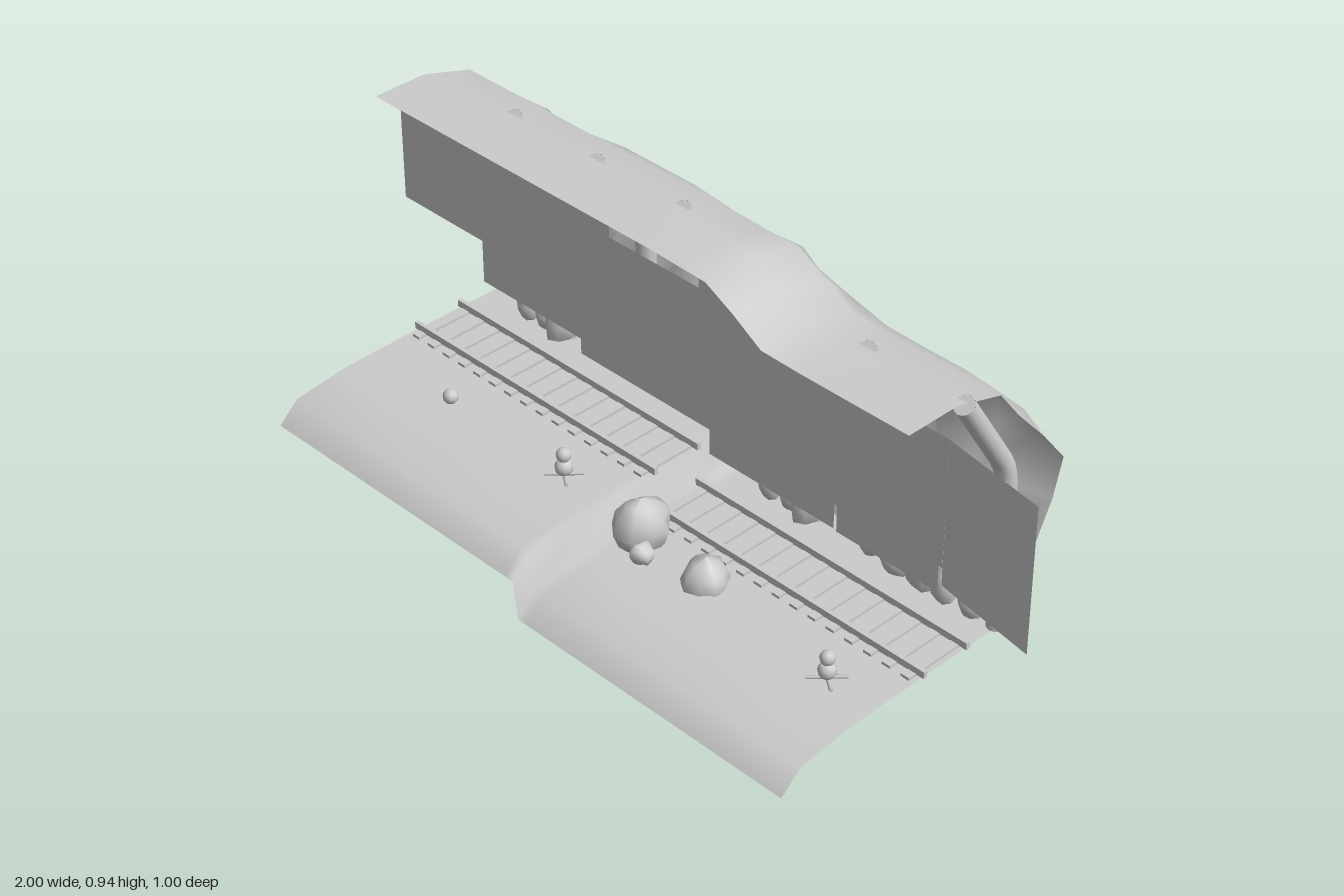
import * as THREE from 'three';

const STEP = 0.11;                       // height difference of the two halves
const HALVES = [{ x: -0.99, lift: STEP }, { x: -0.085, lift: 0 }];
const mat = new THREE.MeshStandardMaterial({ color: 0xcccccc, side: THREE.DoubleSide });

function add(parent, name, geo, x = 0, y = 0, z = 0) {
  const m = new THREE.Mesh(geo, mat);
  m.name = name;
  m.position.set(x, y, z);
  parent.add(m);
  return m;
}

// Surface through a grid of points: cols x rows, point(i, j) -> [x, y, z]
function sheet(cols, rows, point) {
  const pos = [], idx = [];
  for (let i = 0; i < cols; i++) for (let j = 0; j < rows; j++) pos.push(...point(i, j));
  for (let i = 0; i < cols - 1; i++) for (let j = 0; j < rows - 1; j++) {
    const a = i * rows + j, b = a + rows;
    idx.push(a, a + 1, b, b, a + 1, b + 1);
  }
  const g = new THREE.BufferGeometry();
  g.setAttribute('position', new THREE.Float32BufferAttribute(pos, 3));
  g.setIndex(idx);
  g.computeVertexNormals();
  return g;
}

// Irregular stone: a sphere with its vertices pushed in and out
function stone(r, sy, seed) {
  const g = new THREE.SphereGeometry(r, 9, 6), p = g.attributes.position;
  for (let i = 0; i < p.count; i++) {
    const x = p.getX(i) / r, y = p.getY(i) / r, z = p.getZ(i) / r;
    const k = 1 + 0.09 * Math.sin(4 * x + seed) + 0.09 * Math.cos(5 * z + 3 * y + seed * 2);
    p.setXYZ(i, x * r * k, y * r * k * sy, z * r * k);
  }
  g.computeVertexNormals();
  return g;
}

// Piecewise linear value
function lerpTable(t, x) {
  if (x <= t[0][0]) return t[0][1];
  for (let i = 1; i < t.length; i++) {
    const [x0, y0] = t[i - 1], [x1, y1] = t[i];
    if (x <= x1) return y0 + (y1 - y0) * (x - x0) / (x1 - x0);
  }
  return t[t.length - 1][1];
}
const roofLift = x => STEP * lerpTable([[0, 1], [0.2, 0.94], [0.28, 0.5], [0.37, 0]], x);
const floorLift = x => STEP * lerpTable([[-0.09, 1], [-0.075, 0]], x);

function createModel() {
  const model = new THREE.Group();
  model.name = 'mineTunnel';

  // Stepped floor with a front edge that curves down
  const floorProfile = [[0.5, 0], [0.44, 0.055], [0.28, 0.075], [0.14, 0.078], [-0.1, 0.08], [-0.28, 0.08]];
  const floorX = [-0.99, -0.5, -0.12, -0.09, -0.075, -0.045, 0.4, 0.82];
  add(model, 'floor', sheet(floorX.length, floorProfile.length, (i, j) =>
    [floorX[i], floorProfile[j][1] + floorLift(floorX[i]), floorProfile[j][0]]));

  // Roof and craggy back wall: smooth rows on top, uneven depth below, repeated in both halves
  const dx = [0, 0.09, 0.18, 0.27, 0.36, 0.45, 0.57, 0.7, 0.8, 0.905];
  const roofRows = [[0.12, 0.825], [-0.04, 0.825], [-0.19, 0.78]];
  const rockRows = [
    [0.69, 0.26, 0.28, 0.30, 0.26, 0.28, 0.31, 0.31, 0.31, 0.30, 0.26],
    [0.58, 0.36, 0.30, 0.31, 0.27, 0.32, 0.36, 0.38, 0.42, 0.41, 0.36],
    [0.48, 0.44, 0.34, 0.35, 0.28, 0.36, 0.39, 0.36, 0.435, 0.44, 0.44],
    [0.37, 0.41, 0.32, 0.35, 0.30, 0.38, 0.50, 0.38, 0.33, 0.39, 0.41],
    [0.29, 0.37, 0.37, 0.38, 0.35, 0.29, 0.37, 0.30, 0.33, 0.36, 0.37],
    [0.22, 0.34, 0.48, 0.47, 0.46, 0.31, 0.32, 0.37, 0.41, 0.34, 0.34],
    [0.13, 0.31, 0.35, 0.36, 0.35, 0.30, 0.29, 0.35, 0.36, 0.32, 0.31],
    [0.08, 0.28, 0.28, 0.28, 0.28, 0.28, 0.28, 0.28, 0.28, 0.28, 0.28]];
  const rows = roofRows.length + rockRows.length;
  const n = dx.length - 1;
  add(model, 'rockWallAndRoof', sheet(2 * n + 1, rows, (i, j) => {
    const half = i > n ? 1 : 0, c = i - half * n, x = HALVES[half].x + dx[c];
    const rock = rockRows[j - roofRows.length];
    const y = rock ? rock[0] : roofRows[j][1];
    const z = rock ? -rock[c + 1] : roofRows[j][0];
    const w = Math.min(1, Math.max(0, (y - 0.1) / 0.5));
    const lift = roofLift(x) * w + floorLift(x) * (1 - w);
    return [x, y + lift, z];
  }));

  // Bent support post
  const postPath = new THREE.CurvePath();
  const v = (y, z) => new THREE.Vector3(0, y, z);
  postPath.add(new THREE.LineCurve3(v(0.08, -0.24), v(0.48, -0.24)));
  postPath.add(new THREE.QuadraticBezierCurve3(v(0.48, -0.24), v(0.55, -0.24), v(0.6, -0.205)));
  postPath.add(new THREE.LineCurve3(v(0.6, -0.205), v(0.81, -0.07)));
  const postGeo = new THREE.TubeGeometry(postPath, 24, 0.027, 10);

  HALVES.forEach(({ x, lift }, h) => {
    const half = new THREE.Group();
    half.name = h ? 'lowerSection' : 'upperSection';
    half.position.set(x, lift, 0);
    model.add(half);

    for (let k = 1; k <= 3; k++) {
      add(half, 'supportPost', postGeo, k * 0.3);
      add(half, 'postCap', new THREE.CircleGeometry(0.027, 10), k * 0.3, 0.81, -0.07).rotation.x = -1;
    }

    // Track
    for (const z of [0.035, -0.115])
      add(half, 'rail', new THREE.BoxGeometry(0.915, 0.02, 0.012), 0.462, 0.1, z);
    for (let k = 0; k < 15; k++)
      add(half, 'sleeper', new THREE.BoxGeometry(0.026, 0.008, 0.2), 0.035 + k * 0.0605, 0.088, -0.035);

    // Loose stones along the foot of the wall
    [0.16, 0.23, 0.29, 0.5, 0.59, 0.67, 0.745, 0.825].forEach((sx, k) =>
      add(half, 'wallStone', stone(0.038 + 0.005 * (k % 3), 1.4, k), sx, 0.122, -0.228 - 0.012 * (k % 2)));

    // Small stacked figure on two crossed sticks
    const figure = new THREE.Group();
    figure.name = 'crossedPile';
    figure.position.set(0.755, 0.085, 0.195);
    half.add(figure);
    add(figure, 'lowerBall', new THREE.SphereGeometry(0.024, 10, 8), 0, 0.025, 0);
    add(figure, 'upperBall', new THREE.SphereGeometry(0.02, 10, 8), 0, 0.062, 0);
    for (const a of [0.75, -0.95]) {
      const stick = add(figure, 'stick', new THREE.CylinderGeometry(0.005, 0.005, 0.1, 6), 0, 0.004, 0);
      stick.rotation.set(Math.PI / 2, 0, a);
    }
  });
  add(model, 'looseBall', new THREE.SphereGeometry(0.021, 10, 8), -0.67, 0.212, 0.19);

  // Short pipe end on the left, hanging lamp cord on the last post
  add(model, 'pipeEnd', new THREE.CylinderGeometry(0.022, 0.022, 0.07, 10), -0.96, 0.425, -0.205)
    .rotation.z = Math.PI / 2;
  add(model, 'lampCord', new THREE.CylinderGeometry(0.005, 0.005, 0.25, 6), 0.845, 0.42, -0.195);
  for (const y of [0.375, 0.5])
    add(model, 'lamp', new THREE.SphereGeometry(0.024, 8, 6), 0.845, y, -0.19);

  // Boulders at the step
  add(model, 'largeBoulder', stone(0.076, 1, 1), -0.015, 0.13, 0.14);
  add(model, 'smallBoulder', stone(0.034, 0.9, 3), 0.04, 0.1, 0.19);
  add(model, 'lowBoulder', stone(0.064, 0.95, 2), 0.21, 0.085, 0.14);

  // Thin overlapping panels at several depths: left, right, bottom, top, depth, turn
  const panels = [
    [-1.0, -0.455, 0.6, 0.91, 0.035, 0], [-0.75, -0.3, 0.48, 0.83, -0.03, 0],
    [-0.35, 0.2, 0.475, 0.82, 0.03, 0], [-0.94, -0.22, 0.275, 0.6, -0.165, 0],
    [-0.51, 0.085, 0.275, 0.48, -0.12, 0], [-0.06, 0.37, 0.18, 0.48, -0.14, 0],
    [-0.06, 0.54, 0.405, 0.75, -0.1, 0], [0.2, 0.87, 0.44, 0.8, 0.04, 0],
    [0.37, 0.7, 0.165, 0.44, -0.15, 0], [0.69, 1.0, 0.165, 0.595, -0.152, 0.025]];
  for (const [l, r, b, t, z, turn] of panels)
    add(model, 'panel', sheet(2, 2, (i, j) => [i ? r : l, j ? b : t, z + (i ? turn : -turn)]));

  return model;
}

export { createModel };
